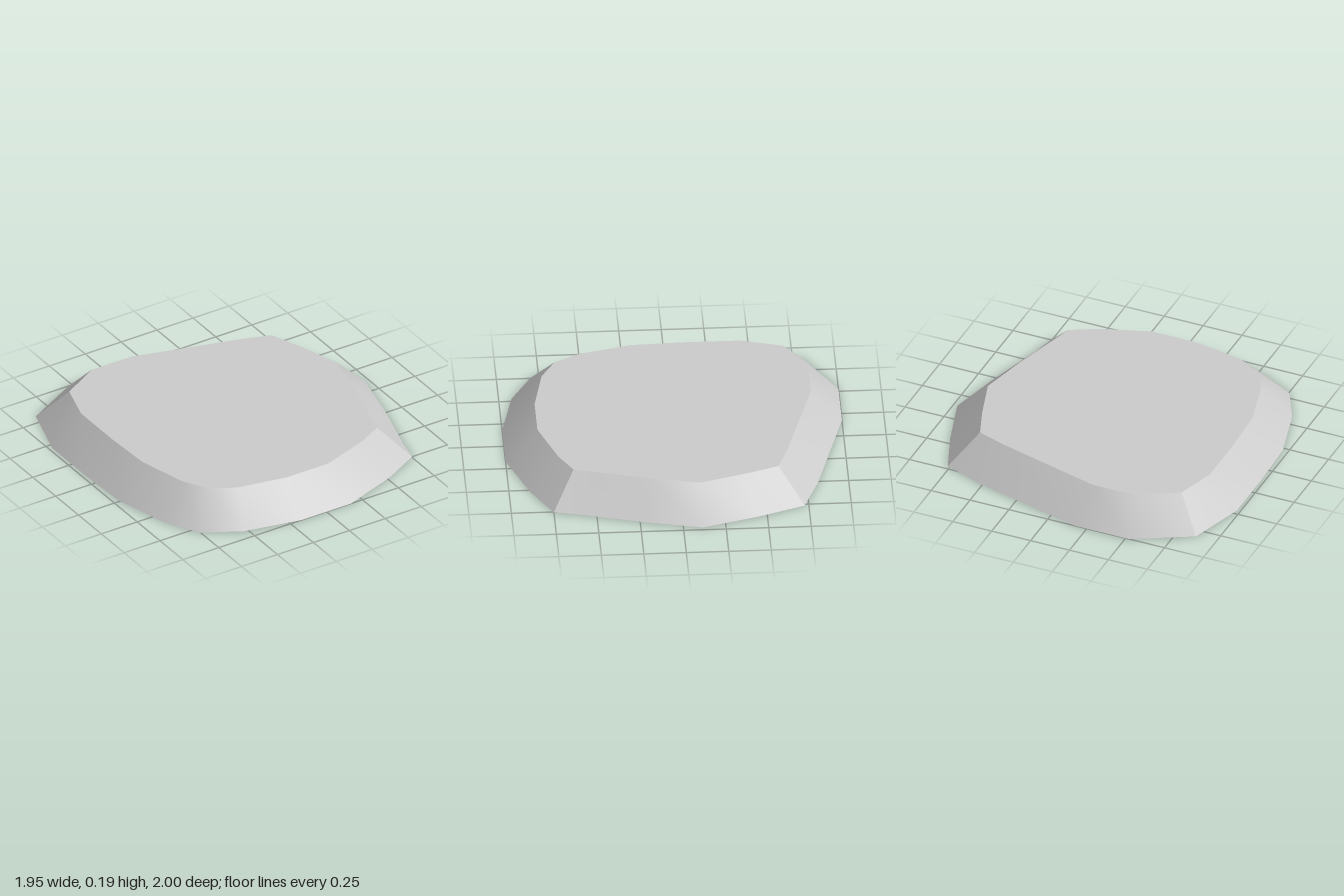
import * as THREE from 'three';
import { toCreasedNormals } from 'three/addons/utils/BufferGeometryUtils.js';

const HEIGHT = 0.19;

// Matching outlines as [x, z], clockwise seen from above
const BASE = [
  [-0.525, -1], [-0.175, -1], [0.51, -0.82], [0.765, -0.725], [0.87, -0.455],
  [0.975, -0.115], [0.895, 0.23], [0.79, 0.595], [0.755, 0.75], [0.52, 0.875],
  [0.17, 1], [-0.175, 1], [-0.525, 0.925], [-0.755, 0.8], [-0.87, 0.58],
  [-0.965, 0.23], [-0.978, -0.115], [-0.978, -0.465], [-0.87, -0.815],
];
const RIM = [
  [-0.48, -0.82], [-0.205, -0.82], [0.45, -0.64], [0.622, -0.58], [0.695, -0.385],
  [0.78, -0.11], [0.71, 0.195], [0.62, 0.515], [0.59, 0.625], [0.44, 0.705],
  [0.135, 0.81], [-0.155, 0.81], [-0.465, 0.75], [-0.615, 0.665], [-0.7, 0.51],
  [-0.78, 0.205], [-0.793, -0.1], [-0.793, -0.44], [-0.72, -0.685],
];

// Bevelled slab: sloping wall between the outlines, closed by two flat caps
function slabGeometry(base, rim, height) {
  const n = base.length;
  const positions = [];
  base.forEach(([x, z]) => positions.push(x, 0, z));
  rim.forEach(([x, z]) => positions.push(x, height, z));
  positions.push(0, 0, 0, 0, height, 0);
  const index = [];
  for (let i = 0; i < n; i++) {
    const j = (i + 1) % n;
    index.push(i, n + i, n + j, i, n + j, j); // wall
    index.push(2 * n, i, j); // underside
    index.push(2 * n + 1, n + j, n + i); // top
  }
  const geometry = new THREE.BufferGeometry();
  geometry.setAttribute('position', new THREE.Float32BufferAttribute(positions, 3));
  geometry.setIndex(index);
  // Smooth along the gentle curves, sharp at the rim and the three tight corners
  return toCreasedNormals(geometry, THREE.MathUtils.degToRad(28));
}

export function createModel() {
  const group = new THREE.Group();
  group.name = 'flatStone';
  const slab = new THREE.Mesh(
    slabGeometry(BASE, RIM, HEIGHT),
    new THREE.MeshStandardMaterial({ color: 0xcccccc }),
  );
  slab.name = 'bevelledSlab';
  group.add(slab);
  return group;
}
